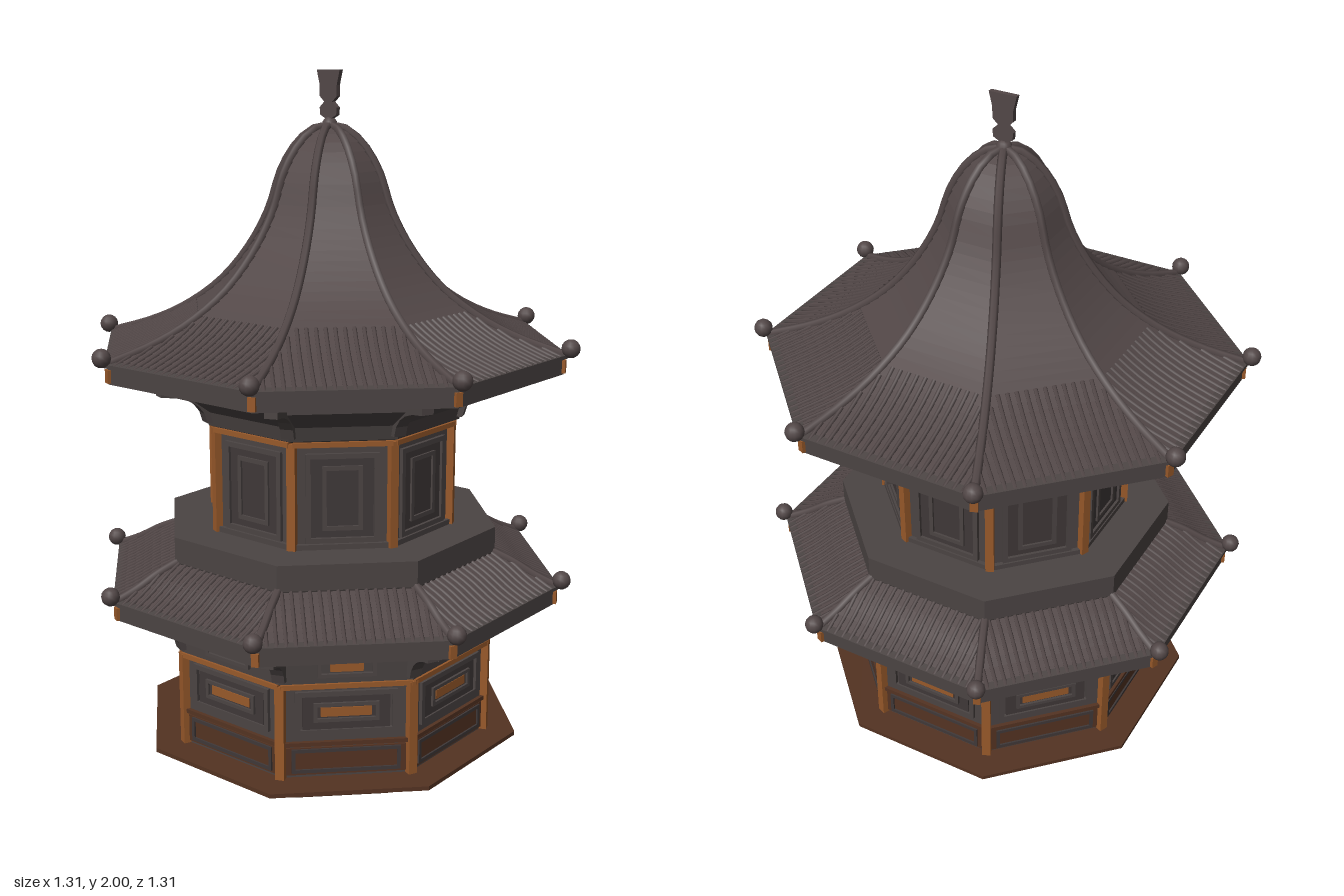
import * as THREE from 'three';

const mat = (name, color, side = THREE.FrontSide) => {
  const m = new THREE.MeshStandardMaterial({ color, side });
  m.name = name;
  return m;
};
const COS = Math.cos(Math.PI / 8), TAN = Math.tan(Math.PI / 8);

export function createModel() {
  const root = new THREE.Group();
  root.name = 'pagoda';
  const M = {
    tile: mat('roof tile', 0x524747, THREE.DoubleSide),
    wall: mat('wall', 0x4b4443),
    panel: mat('dark panel', 0x3f3838),
    orange: mat('orange wood', 0x98592a),
    brown: mat('brown wood', 0x543322),
    under: mat('eave underside', 0x3a251b),
  };

  const add = (parent, name, geo, m, x = 0, y = 0, z = 0) => {
    const mesh = new THREE.Mesh(geo, m);
    mesh.name = name;
    mesh.position.set(x, y, z);
    parent.add(mesh);
    return mesh;
  };
  const box = (parent, name, w, h, d, m, x, y, z) =>
    add(parent, name, new THREE.BoxGeometry(w, h, d), m, x, y, z);

  // Octagonal solid with flat faces; profile points are [apothem, y], bottom to top
  const oct = (name, profile, m) => {
    const pts = profile.map(([a, y]) => new THREE.Vector2(a / COS, y));
    let geo = new THREE.LatheGeometry(pts, 8, Math.PI / 8);
    geo = geo.toNonIndexed();
    geo.computeVertexNormals();
    return add(root, name, geo, m);
  };

  // One group per octagon side (offset 0) or per corner (offset 0.5)
  const around = (name, offset, build) => {
    for (let i = 0; i < 8; i++) {
      const g = new THREE.Group();
      g.name = name;
      g.rotation.y = (i + offset) * Math.PI / 4;
      root.add(g);
      build(g);
    }
  };
  // Rectangular moulding on a wall
  const frame = (g, name, w, h, t, m, x, y, z) => {
    for (const s of [-1, 1]) {
      box(g, name, w, t, 0.012, m, x, y + s * (h - t) / 2, z);
      box(g, name, t, h, 0.012, m, x + s * (w - t) / 2, y, z);
    }
  };

  // Base dish
  oct('base', [[0, 0], [0.32, 0], [0.335, 0.03], [0.4, 0.045], [0.52, 0.11], [0.52, 0.122], [0.42, 0.122]], M.brown);

  // Storey walls with flared friezes under the eaves
  oct('lowerWall', [[0.43, 0.12], [0.43, 0.39]], M.wall);
  oct('lowerFrieze', [[0.43, 0.39], [0.44, 0.4], [0.445, 0.48], [0.49, 0.505], [0.49, 0.535]], M.wall);
  oct('upperWall', [[0.325, 0.74], [0.325, 1.04]], M.wall);
  oct('upperFrieze', [[0.325, 1.04], [0.35, 1.05], [0.36, 1.09], [0.42, 1.14], [0.42, 1.2]], M.wall);

  around('lowerSide', 0, g => {
    box(g, 'topBeam', 0.36, 0.014, 0.02, M.orange, 0, 0.393, 0.437);
    box(g, 'railBeam', 0.35, 0.012, 0.014, M.brown, 0, 0.222, 0.434);
    box(g, 'skirtPanel', 0.33, 0.08, 0.008, M.brown, 0, 0.17, 0.431);
    frame(g, 'skirtFrame', 0.3, 0.07, 0.01, M.panel, 0, 0.172, 0.434);
    box(g, 'sidePanel', 0.24, 0.1, 0.008, M.panel, 0, 0.312, 0.431);
    frame(g, 'panelFrame', 0.28, 0.125, 0.014, M.wall, 0, 0.312, 0.434);
    frame(g, 'plaqueFrame', 0.18, 0.055, 0.01, M.wall, 0, 0.314, 0.436);
    box(g, 'plaque', 0.14, 0.026, 0.008, M.orange, 0, 0.314, 0.434);
    frame(g, 'friezeFrame', 0.16, 0.055, 0.01, M.wall, 0, 0.447, 0.445);
    box(g, 'friezePlaque', 0.09, 0.024, 0.008, M.orange, 0, 0.447, 0.444);
  });

  around('upperSide', 0, g => {
    box(g, 'topBeam', 0.27, 0.014, 0.02, M.orange, 0, 1.037, 0.334);
    box(g, 'doorPanel', 0.17, 0.22, 0.006, M.panel, 0, 0.885, 0.325);
    frame(g, 'doorFrame', 0.2, 0.25, 0.014, M.wall, 0, 0.885, 0.329);
    frame(g, 'doorMoulding', 0.11, 0.18, 0.012, M.wall, 0, 0.885, 0.328);
    box(g, 'sill', 0.25, 0.015, 0.014, M.wall, 0, 0.75, 0.33);
  });

  // Curved corner bracket, drawn as radius against height
  const bracket = (g, r, y, reach, h) => {
    const s = new THREE.Shape();
    s.moveTo(r - 0.03, y);
    s.lineTo(r + 0.01, y);
    s.quadraticCurveTo(r + 0.02, y + h * 0.55, r + reach, y + h * 0.62);
    s.lineTo(r + reach, y + h * 0.8);
    s.lineTo(r + reach * 0.75, y + h);
    s.lineTo(r - 0.03, y + h);
    const geo = new THREE.ExtrudeGeometry(s, { depth: 0.036, bevelEnabled: false, curveSegments: 5 });
    geo.translate(0, 0, -0.018);
    add(g, 'bracket', geo, M.wall).rotation.y = -Math.PI / 2;
  };
  around('corner', 0.5, g => {
    box(g, 'lowerColumn', 0.026, 0.275, 0.026, M.orange, 0, 0.258, 0.468);
    box(g, 'upperColumn', 0.024, 0.3, 0.024, M.orange, 0, 0.89, 0.355);
    bracket(g, 0.475, 0.41, 0.1, 0.125);
    bracket(g, 0.38, 1.06, 0.145, 0.14);
    for (const [y, r] of [[0.55, 0.664], [1.217, 0.664]])
      box(g, 'eaveTip', 0.02, 0.036, 0.012, M.orange, 0, y, r);
  });
  // Small blocks between the brackets
  around('eaveBlocks', 0, g => {
    for (const x of [-0.1, 0, 0.1]) {
      box(g, 'lowerBlock', 0.03, 0.025, 0.03, M.wall, x, 0.518, 0.5);
      box(g, 'upperBlock', 0.03, 0.03, 0.04, M.wall, x, 1.175, 0.43);
    }
  });

  // Roof: soffit, fascia, overlapping tile courses, ribs, hip ridges and corner balls
  const roof = (name, y0, path, rows, ribTop) => {
    const curve = new THREE.CatmullRomCurve3(path.map(([a, y]) => new THREE.Vector3(0, y, a)));
    const pts = curve.getSpacedPoints(rows);
    oct(name + 'Soffit', [[0.3, y0], [0.614, y0]], M.under);
    oct(name + 'Fascia', [[0.614, y0], [0.614, y0 + 0.045], [0.624, y0 + 0.045], [0.624, y0 + 0.055], [0.6, y0 + 0.06]], M.wall);
    oct(name + 'Tiles', pts.flatMap(p => [[Math.max(0, p.z - 0.005), p.y], [p.z, p.y]]), M.tile);

    around(name + 'Ribs', 0, g => {
      for (let x = -0.225; x < 0.23; x += 0.025) {
        const line = pts.filter(p => p.z * TAN > Math.abs(x) + 0.004 && p.z > ribTop)
          .map(p => new THREE.Vector3(x, p.y - 0.001, p.z));
        if (line.length < 2) continue;
        add(g, 'rib', new THREE.TubeGeometry(new THREE.CatmullRomCurve3(line), 8, 0.006, 5), M.tile);
      }
    });
    const hip = new THREE.CatmullRomCurve3(path.map(([a, y]) => new THREE.Vector3(0, y, a / COS)));
    around(name + 'Hip', 0.5, g => {
      add(g, 'hipRidge', new THREE.TubeGeometry(hip, 24, 0.012, 6), M.tile);
      add(g, 'cornerBall', new THREE.SphereGeometry(0.026, 12, 8), M.tile, 0, y0 + 0.072, 0.682);
    });
  };
  roof('lowerRoof', 0.53, [[0.62, 0.583], [0.56, 0.61], [0.5, 0.645], [0.44, 0.672]], 7, 0.44);
  roof('upperRoof', 1.195, [[0.62, 1.248], [0.5, 1.288], [0.4, 1.338], [0.3, 1.415], [0.22, 1.515],
    [0.165, 1.62], [0.13, 1.73], [0.09, 1.80], [0.045, 1.842], [0.005, 1.852]], 30, 0.36);

  // Balcony band and deck
  oct('balcony', [[0.44, 0.64], [0.452, 0.67], [0.452, 0.742], [0.32, 0.742]], M.wall);

  // Flat carved finial on a small knob
  const half = [[0.012, 1.84], [0.01, 1.87], [0.028, 1.88], [0.03, 1.9], [0.014, 1.915], [0.03, 1.93], [0.03, 1.96], [0.04, 2.0]];
  const outline = [...half, ...half.map(([x, y]) => [-x, y]).reverse()];
  const finial = new THREE.ExtrudeGeometry(
    new THREE.Shape(outline.map(([x, y]) => new THREE.Vector2(x, y))), { depth: 0.014, bevelEnabled: false });
  add(root, 'finial', finial, M.tile, 0, 0, -0.007);
  add(root, 'finialKnob', new THREE.SphereGeometry(0.022, 12, 8), M.tile, 0, 1.853, 0);

  return root;
}
